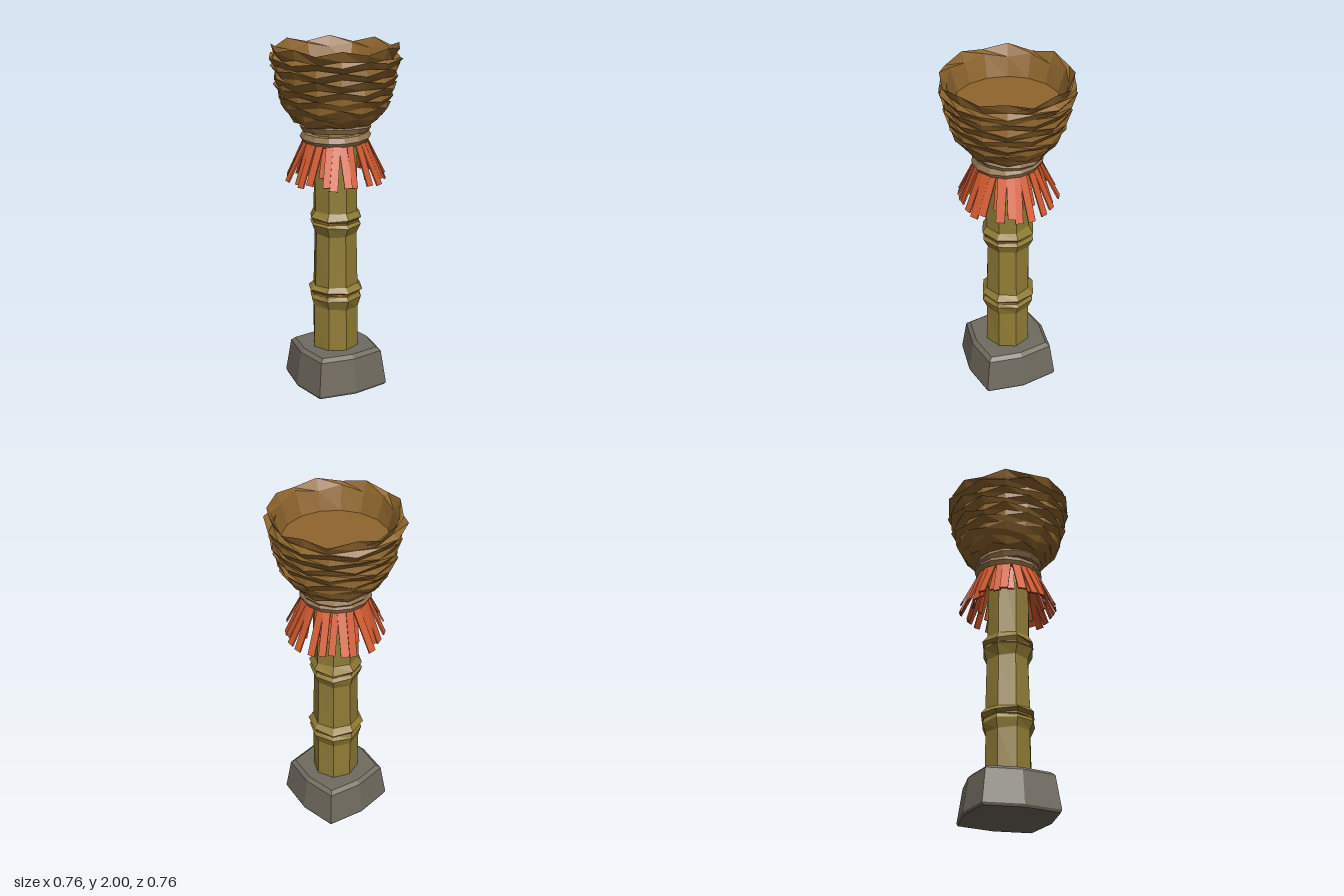
import * as THREE from 'three';

const mat = (name, color, side = THREE.FrontSide) => {
  const m = new THREE.MeshStandardMaterial({ color, flatShading: true, side });
  m.name = name;
  return m;
};

// Repeatable noise in -1..1
const noise = (a, b) => {
  const s = Math.sin(a * 127.1 + b * 311.7) * 43758.5453;
  return (s - Math.floor(s)) * 2 - 1;
};

// Turned shape whose vertices are moved by rule(i, j) -> [radius factor, y offset]
function turned(profile, sides, rule) {
  const geo = new THREE.LatheGeometry(profile.map(p => new THREE.Vector2(...p)), sides);
  const pos = geo.attributes.position, n = profile.length;
  for (let v = 0; v < pos.count; v++) {
    const i = Math.floor(v / n) % sides, j = v % n;
    const [f, dy] = rule(i, j);
    pos.setXYZ(v, pos.getX(v) * f, pos.getY(v) + dy, pos.getZ(v) * f);
  }
  geo.computeVertexNormals();
  return geo;
}

export function createModel() {
  const group = new THREE.Group();
  group.name = 'woven bowl stand';
  const stone = mat('grey stone', 0x716b5f);
  const bamboo = mat('olive bamboo', 0x917c36);
  const wicker = mat('brown wicker', 0x8f652d);
  const ropeMat = mat('tan rope', 0x94744f);
  const straw = mat('orange straw', 0xd0592f);

  const add = (name, geo, material, parent = group) => {
    const m = new THREE.Mesh(geo, material);
    m.name = name;
    parent.add(m);
    return m;
  };

  // Stone foot: square with softly bulging sides
  add('stoneBase', turned(
    [[0, 0], [0.25, 0], [0.256, 0.015], [0.228, 0.21], [0.205, 0.23], [0, 0.23]], 8,
    i => [i % 2 ? 1.22 : 1, 0]), stone);

  // Bamboo pole with two double-ridged joints
  add('bambooPole', turned([
    [0.137, 0.2], [0.135, 0.48], [0.158, 0.535], [0.14, 0.56], [0.142, 0.57], [0.16, 0.585],
    [0.134, 0.615], [0.126, 0.92], [0.152, 0.975], [0.134, 0.995], [0.136, 1.005],
    [0.153, 1.02], [0.128, 1.06], [0.126, 1.56]], 8,
    (i, j) => [1 + 0.035 * noise(i, j + 3), j > 0 && j < 13 ? 0.007 * noise(j, i) : 0]), bamboo);
  for (const [y, r] of [[0.566, 0.146], [1.0, 0.139]])
    add('jointLine', new THREE.CylinderGeometry(r, r, 0.012, 8).translate(0, y, 0), wicker);

  // Straw skirt: outer and inner layers of thin strips
  const skirt = new THREE.Group();
  skirt.name = 'strawSkirt';
  group.add(skirt);
  const layers = [
    { count: 26, r: 0.175, tilt: 0.42, vary: 0.07, len: 0.245, w: 0.044 },
    { count: 14, r: 0.155, tilt: 0.27, vary: 0.08, len: 0.2, w: 0.038 }];
  layers.forEach((l, k) => {
    for (let i = 0; i < l.count; i++) {
      const geo = new THREE.BoxGeometry(l.w * (1 + 0.15 * noise(i, k)), l.len * (1 + 0.07 * noise(k + 5, i)), 0.009);
      geo.computeBoundingBox();
      geo.translate(0, -geo.boundingBox.max.y, 0);
      geo.rotateZ(0.1 * noise(i, k + 9));
      geo.rotateX(-(l.tilt + l.vary * noise(i, k + 2)));
      geo.translate(0, 1.47, l.r);
      geo.rotateY((i + 0.25 * noise(i, k + 7)) / l.count * Math.PI * 2);
      add('strawStrip', geo, straw, skirt);
    }
  });

  // Rope binding: two slightly tilted coils
  [[1.488, 0.04], [1.54, -0.05]].forEach(([y, tilt], k) => {
    const coil = add('ropeCoil', new THREE.TorusGeometry(0.168, 0.033, 6, 14).rotateX(Math.PI / 2), ropeMat);
    coil.position.y = y;
    coil.rotation.set(tilt, k * 0.4, tilt);
  });

  // Woven bowl: overlapping rows that flare at their upper edge
  const profile = [[0, 1.56], [0.19, 1.56]];
  const rowRadii = [0.265, 0.305, 0.325, 0.34, 0.35, 0.36, 0.37];
  rowRadii.forEach((r, k) => {
    const y = 1.575 + k * 0.052;
    profile.push([r - 0.03, y], [r, y + 0.04]);
  });
  const rim = profile.length;
  profile.push([0.328, 1.93], [0.358, 2.0], [0.33, 1.95], [0.29, 1.83], [0, 1.83]);
  add('wovenBowl', turned(profile, 16, (i, j) => {
    if (j < 2 || j > rim + 2) return [1, 0];
    const up = (i + Math.floor(j / 2)) % 2 ? 1 : -1;
    if (j === rim + 1) return [1 + 0.02 * noise(i, j), i % 2 ? 0 : -0.025 - 0.01 * noise(j, i)];
    return [1 + 0.018 * up + 0.015 * noise(i, j), 0.011 * up + 0.006 * noise(j, i)];
  }), wicker);

  return group;
}
